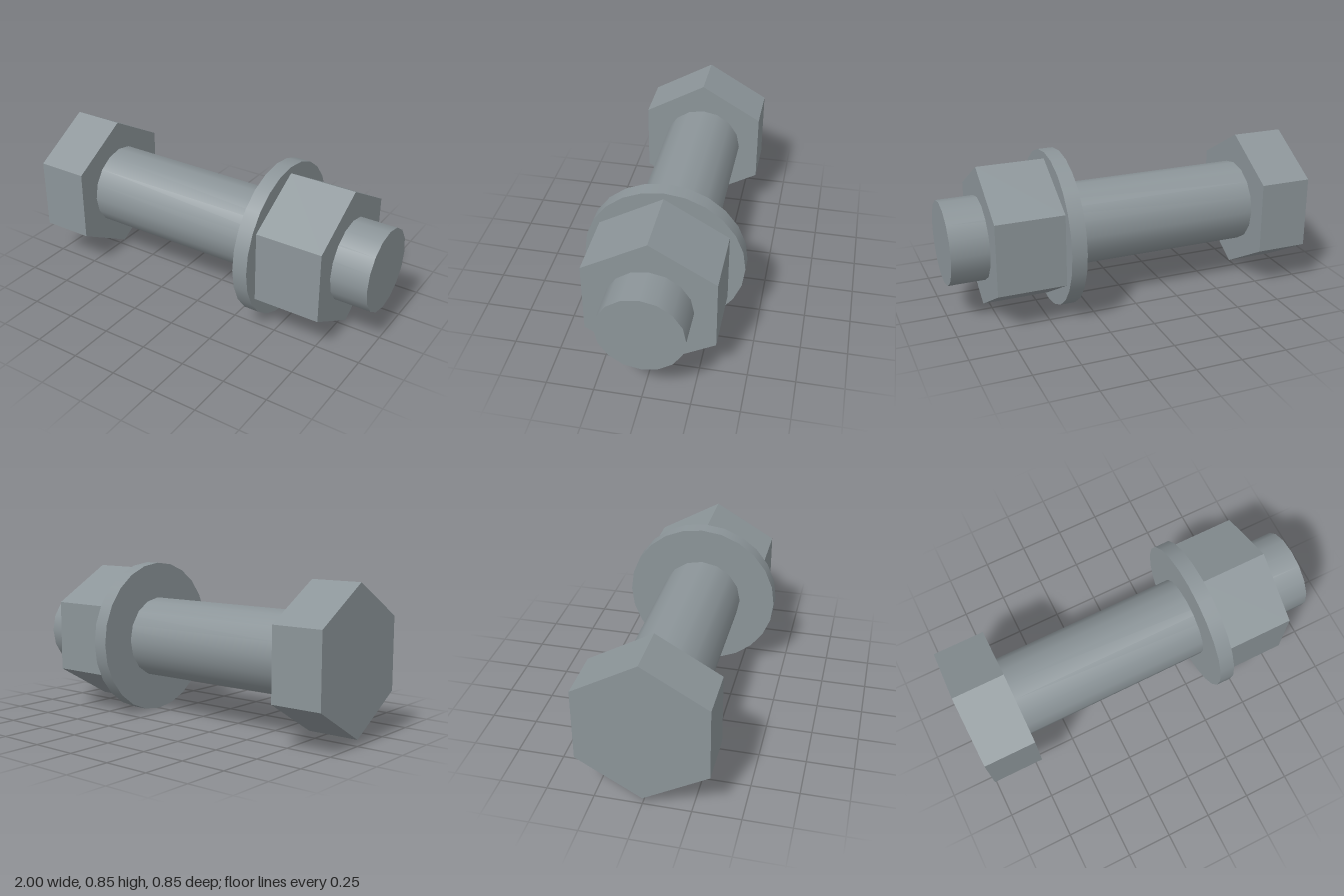
import * as THREE from 'three';

const AXIS_HEIGHT = 0.429;

export function createModel() {
  const model = new THREE.Group();
  model.name = 'boltAssembly';

  const steel = new THREE.MeshStandardMaterial({ color: 0x8c9599 });
  steel.name = 'steel grey';

  // A prism lying along x from x0 to x1, with one corner pointing straight up
  function addPrism(name, radius, sides, x0, x1) {
    let geometry = new THREE.CylinderGeometry(radius, radius, x1 - x0, sides, 1, false, Math.PI / 2);
    geometry.rotateZ(-Math.PI / 2);
    if (sides === 6) {
      // Hexagons have crisp, flat sides; round parts stay smooth
      geometry = geometry.toNonIndexed();
      geometry.computeVertexNormals();
    }
    const mesh = new THREE.Mesh(geometry, steel);
    mesh.name = name;
    mesh.position.set((x0 + x1) / 2, AXIS_HEIGHT, 0);
    model.add(mesh);
  }

  addPrism('hexHead', 0.393, 6, -1, -0.715);
  addPrism('shank', 0.227, 16, -0.715, 1);
  addPrism('washer', 0.427, 24, 0.343, 0.426);
  addPrism('hexNut', 0.393, 6, 0.428, 0.797);

  return model;
}
